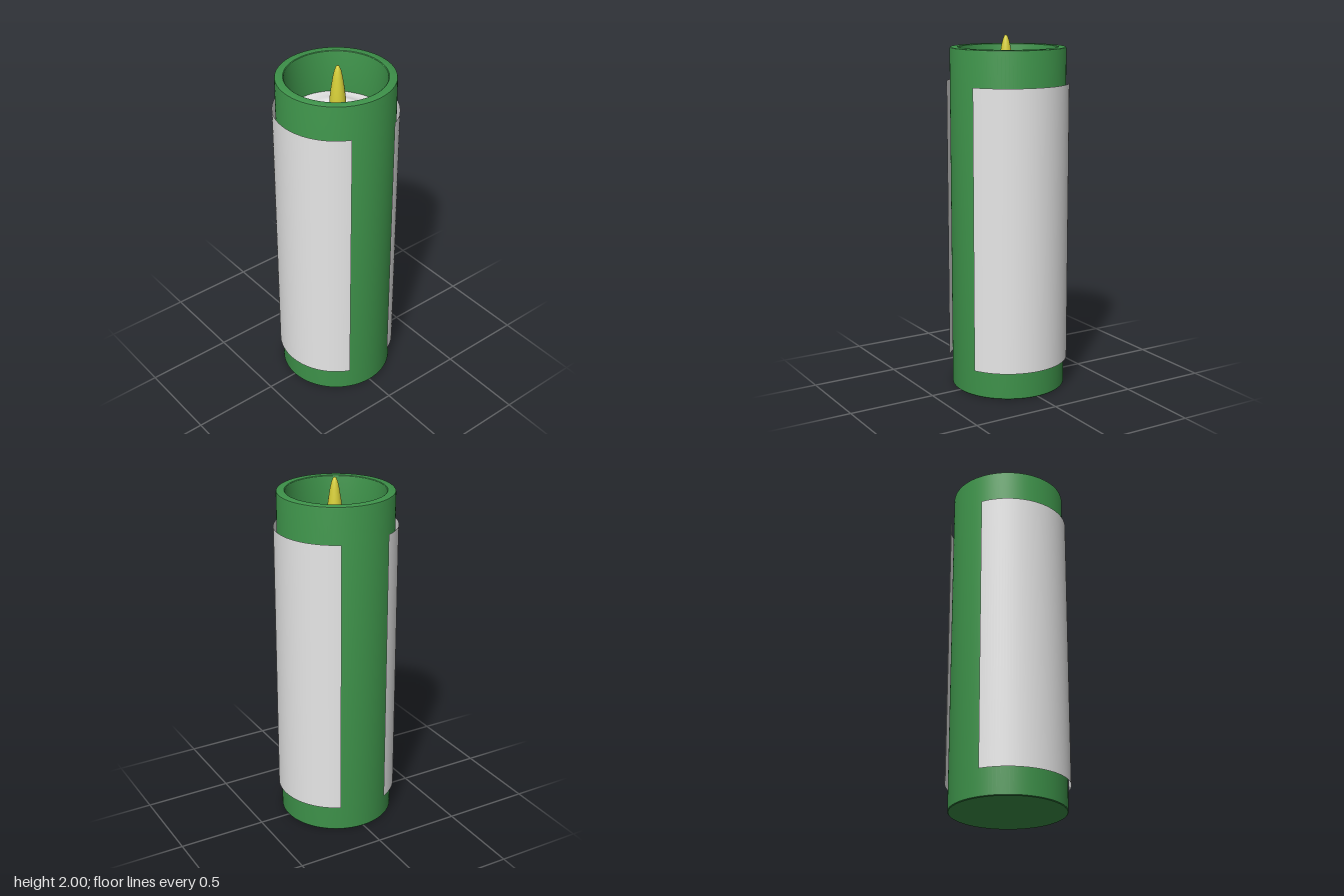
import * as THREE from 'three';
import { toCreasedNormals, mergeVertices } from 'three/addons/utils/BufferGeometryUtils.js';

const mat = (name, color, side = THREE.FrontSide) => {
  const m = new THREE.MeshStandardMaterial({ color, side });
  m.name = name;
  return m;
};
const lathe = (pts, segments) =>
  new THREE.LatheGeometry(pts.map(([r, y]) => new THREE.Vector2(r, y)), segments);

export function createModel() {
  const green = mat('green', 0x3d9149);
  const white = mat('white', 0xececec, THREE.DoubleSide);
  const yellow = mat('yellow', 0xd6ce38);

  const group = new THREE.Group();
  group.name = 'candle';
  const add = (name, geometry, material) => {
    const mesh = new THREE.Mesh(geometry, material);
    mesh.name = name;
    group.add(mesh);
    return mesh;
  };

  // Hollow cup: closed base, outer wall, softened rim, inner wall and floor
  const cup = lathe([
    [0, 0], [0.318, 0], [0.322, 0.004], [0.322, 1.927], [0.32, 1.933], [0.315, 1.936],
    [0.278, 1.936], [0.274, 1.933], [0.272, 1.927], [0.272, 1.6], [0, 1.6],
  ], 96);
  add('cup', toCreasedNormals(cup, 0.6), green);

  // Wax surface: a low uneven ring mound around a dip at the middle
  const rings = 24;
  let wax = lathe(Array.from({ length: rings + 1 }, (_, i) => [0.272 * (1 - i / rings), 0]), 64);
  const p = wax.attributes.position;
  for (let i = 0; i < p.count; i++) {
    const x = p.getX(i), z = p.getZ(i), r = Math.hypot(x, z), a = Math.atan2(z, x);
    const mound = Math.exp(-(((r - 0.145 - 0.012 * Math.sin(2 * a + 0.6)) / 0.05) ** 2));
    const ripple = 0.003 * Math.sin(21 * x + 9 * z) * Math.cos(17 * z - 6 * x);
    p.setY(i, 1.69 + mound * (0.018 + 0.005 * Math.sin(3 * a + 1)) + ripple);
  }
  wax.deleteAttribute('normal');
  wax.deleteAttribute('uv');
  wax = mergeVertices(wax, 1e-5);
  wax.computeVertexNormals();
  add('wax', wax, white);

  // Teardrop flame
  const flame = lathe([
    [0, 1.68], [0.026, 1.69], [0.038, 1.72], [0.044, 1.77], [0.043, 1.81], [0.036, 1.87],
    [0.026, 1.935], [0.018, 1.972], [0.01, 1.993], [0.005, 1.999], [0, 2],
  ], 32);
  add('flame', flame, yellow).position.x = 0.014;

  // Curved label sheets standing just off the wall, front and back
  const half = 1.135;
  const label = (name, middle, y0, y1) => {
    const sheet = new THREE.CylinderGeometry(
      0.34, 0.34, y1 - y0, 48, 1, true, middle - half, 2 * half);
    add(name, sheet, white).position.y = (y0 + y1) / 2;
  };
  label('frontLabel', 0, 0.147, 1.747);
  label('backLabel', Math.PI, 0.155, 1.737);

  return group;
}
